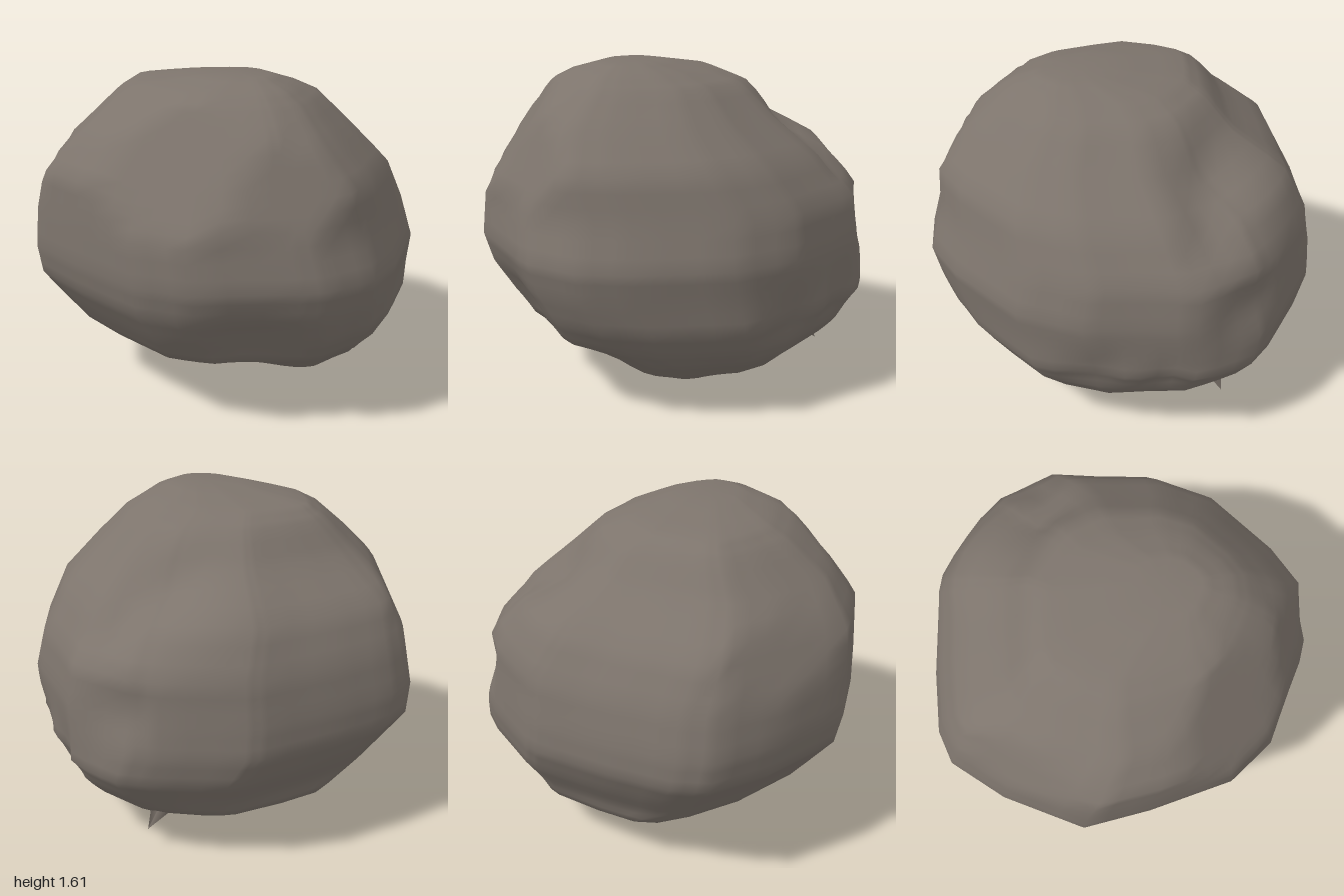
import * as THREE from 'three';

// Plan outline of the boulder (x, z), running from +z round through -x
const OUTLINE = [
  [-0.2, 1], [-0.45, 0.92], [-0.55, 0.84], [-0.87, 0.5], [-0.96, 0.23], [-0.92, -0.2],
  [-0.86, -0.53], [-0.55, -0.83], [-0.28, -1], [-0.1, -1], [0.2, -0.9], [0.55, -0.75],
  [0.63, -0.69], [0.86, -0.38], [0.94, -0.23], [0.95, 0.1], [0.82, 0.35], [0.72, 0.57],
  [0.48, 0.8], [0.05, 0.96],
];

// Extents by height: y, xMin, xMax, zMin, zMax
const LEVELS = [
  [0, 0.1, 0.2, -0.2, 0.23],
  [0.06, 0, 0.38, -0.36, 0.4],
  [0.13, -0.2, 0.62, -0.5, 0.53],
  [0.24, -0.42, 0.76, -0.74, 0.72],
  [0.34, -0.72, 0.86, -0.81, 0.85],
  [0.47, -0.82, 0.95, -0.9, 0.93],
  [0.62, -0.92, 0.94, -1, 0.97],
  [0.77, -0.955, 0.93, -1, 1],
  [0.97, -0.95, 0.9, -0.95, 0.93],
  [1.17, -0.94, 0.74, -0.86, 0.9],
  [1.35, -0.81, 0.51, -0.62, 0.75],
  [1.5, -0.62, 0.34, -0.48, 0.59],
  [1.56, -0.5, 0.18, -0.38, 0.5],
  [1.61, -0.32, -0.03, 0, 0.36],
];

// Flattened shoulders: plane normal x, y, z and distance from the centre
const CUTS = [
  [-0.78, 0.55, 0.32, 0.91],
  [-0.58, 0.39, 0.71, 0.95],
  [-0.54, 0.46, -0.72, 0.93],
];

// Hollows, or swellings where depth is negative: centre x, y, z, depth, radius
const DENTS = [
  [0.72, 1.1, -0.03, 0.06, 0.12], [0.55, 1.26, -0.14, 0.07, 0.17],
  [0.6, 1.2, -0.5, -0.06, 0.22],
  [0.88, 0.8, -0.2, 0.05, 0.13], [0.75, 0.45, 0.55, 0.06, 0.15],
  [0.88, 0.45, 0.2, 0.05, 0.13], [-0.65, 0.45, 0.65, 0.05, 0.2],
  [-0.1, 0.35, 0.8, 0.02, 0.18], [-0.05, 0.12, 0.5, -0.04, 0.18],
];

const STEPS = 3;
const mix = THREE.MathUtils.lerp;

// Insert evenly spaced rows between neighbouring rows
function subdivide(rows, closed) {
  const out = [];
  const n = closed ? rows.length : rows.length - 1;
  for (let i = 0; i < n; i++) {
    const next = rows[(i + 1) % rows.length];
    for (let s = 0; s < STEPS; s++) out.push(rows[i].map((v, k) => mix(v, next[k], s / STEPS)));
  }
  if (!closed) out.push(rows[rows.length - 1]);
  return out;
}

function boulderGeometry() {
  const outline = subdivide(OUTLINE, true);
  const levels = subdivide(LEVELS, false);
  const centre = new THREE.Vector3(0, 0.8, 0);
  const positions = [];
  const index = [];

  const addPoint = (x, y, z) => {
    const p = new THREE.Vector3(x, y, z).sub(centre);
    // Slide points outside a shoulder plane back onto it
    for (const [nx, ny, nz, limit] of CUTS) {
      const normal = new THREE.Vector3(nx, ny, nz).normalize();
      const excess = p.dot(normal) - limit;
      if (excess > 0) p.addScaledVector(normal, -excess);
    }
    p.add(centre);
    const inward = centre.clone().sub(p).normalize();
    let push = 0;
    for (const [dx, dy, dz, depth, radius] of DENTS) {
      const d2 = (p.x - dx) ** 2 + (p.y - dy) ** 2 + (p.z - dz) ** 2;
      push += depth * Math.exp(-d2 / (radius * radius));
    }
    p.addScaledVector(inward, push);
    positions.push(p.x, p.y, p.z);
  };

  // Fit the outline into the extents at each height
  for (const [y, x0, x1, z0, z1] of levels) {
    for (const [x, z] of outline) {
      addPoint(mix(x0, x1, (x + 0.96) / 1.91), y, mix(z0, z1, (z + 1) / 2));
    }
  }

  // Skin between rings
  const n = outline.length;
  for (let i = 0; i < levels.length - 1; i++) {
    for (let j = 0; j < n; j++) {
      const k = (j + 1) % n;
      const a = i * n + j, b = i * n + k, c = a + n, d = b + n;
      index.push(a, c, b, b, c, d);
    }
  }

  // Close the underside and the crown
  const cap = (row) => {
    const [y, x0, x1, z0, z1] = levels[row];
    const hub = positions.length / 3;
    addPoint((x0 + x1) / 2, y, (z0 + z1) / 2);
    for (let j = 0; j < n; j++) index.push(hub, row * n + j, row * n + (j + 1) % n);
  };
  cap(0);
  cap(levels.length - 1);

  // Turn every face outward from the centre
  const at = (i) => new THREE.Vector3().fromArray(positions, i * 3).sub(centre);
  for (let t = 0; t < index.length; t += 3) {
    const [a, b, c] = [at(index[t]), at(index[t + 1]), at(index[t + 2])];
    if (a.dot(b.cross(c)) < 0) [index[t + 1], index[t + 2]] = [index[t + 2], index[t + 1]];
  }

  const geometry = new THREE.BufferGeometry();
  geometry.setAttribute('position', new THREE.Float32BufferAttribute(positions, 3));
  geometry.setIndex(index);
  geometry.computeVertexNormals();
  return geometry;
}

export function createModel() {
  const group = new THREE.Group();
  group.name = 'boulder';
  const stone = new THREE.MeshStandardMaterial({ color: 0x7d746c });
  stone.name = 'warm grey stone';

  const body = new THREE.Mesh(boulderGeometry(), stone);
  body.name = 'boulderBody';
  group.add(body);

  // Small sharp splinter near the foot
  const splinter = new THREE.Mesh(new THREE.ConeGeometry(0.06, 0.13, 3), stone);
  splinter.name = 'splinter';
  splinter.position.set(0.67, 0.15, -0.18);
  splinter.rotation.z = -2.3;
  group.add(splinter);

  return group;
}
